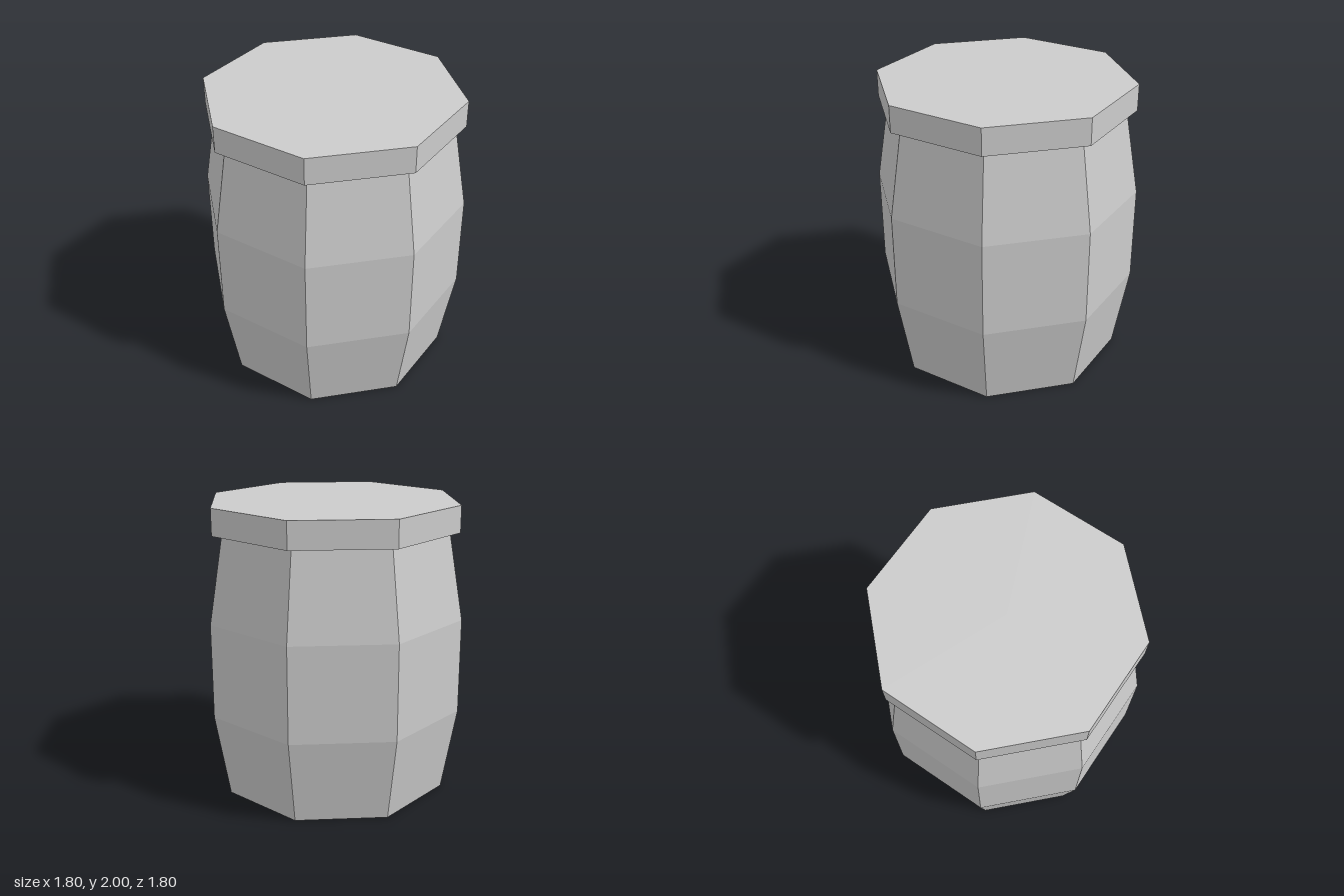
import * as THREE from 'three';

const SIDES = 8;

export function createModel() {
  const group = new THREE.Group();
  const material = new THREE.MeshStandardMaterial({ color: 0xcccccc, flatShading: true });

  // Closed, faceted solid from a [radius, height] profile, listed bottom to top
  const addTurned = (name, profile) => {
    const points = profile.map(([r, y]) => new THREE.Vector2(r, y));
    const mesh = new THREE.Mesh(new THREE.LatheGeometry(points, SIDES), material);
    mesh.name = name;
    group.add(mesh);
  };

  // Bulging barrel body with a straight middle band
  addTurned('barrelBody', [[0, 0], [0.8, 0], [0.9, 0.585], [0.9, 1.235], [0.8, 1.815], [0, 1.815]]);

  // Flat lid overhanging the rim
  addTurned('lid', [[0, 1.82], [0.867, 1.82], [0.867, 2], [0, 2]]);

  return group;
}
